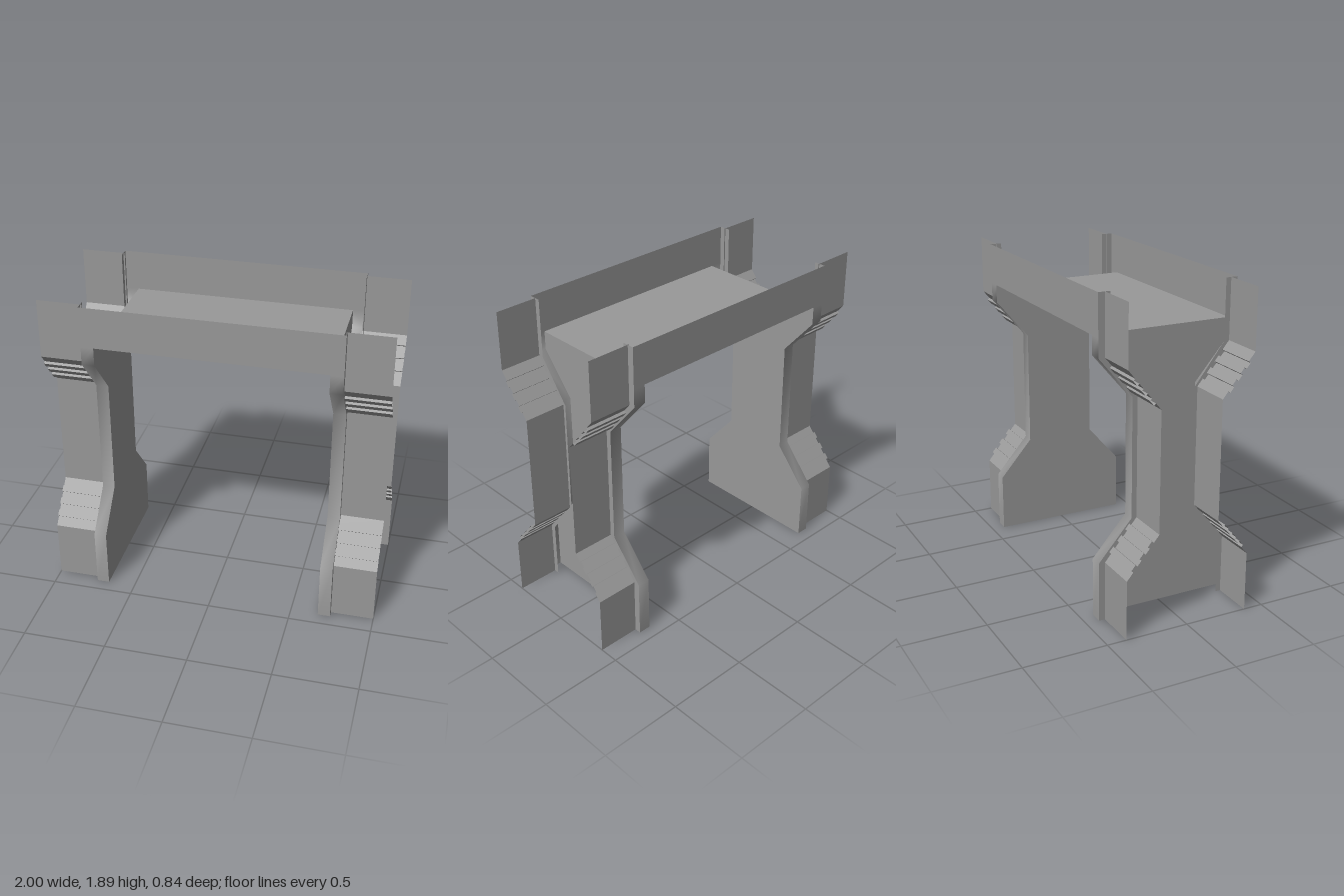
import * as THREE from 'three';

const material = new THREE.MeshStandardMaterial({ color: 0x999999, side: THREE.DoubleSide });

// Main dimensions
const INNER = 0.667, TRIM = 0.742, CLAD = 0.734, OUTER = 1;
const HEAD = 1.647, TOP = 1.89;

// Waisted profile as [y, z]: wide foot, narrow middle, wide head
const profile = (wide, narrow, top) =>
  [[0, wide], [0.355, wide], [0.59, narrow], [1.298, narrow], [1.537, wide], [top, wide]];

// Sheet stretched between two polylines; front side has b to the right of a, points going up
function sheet(name, a, b, smooth = false) {
  const position = [], index = [];
  a.forEach((p, i) => {
    position.push(...p, ...b[i]);
    if (i) {
      const k = 2 * i;
      index.push(k - 2, k - 1, k + 1, k - 2, k + 1, k);
    }
  });
  let geometry = new THREE.BufferGeometry();
  geometry.setAttribute('position', new THREE.Float32BufferAttribute(position, 3));
  geometry.setIndex(index);
  if (!smooth) geometry = geometry.toNonIndexed();
  geometry.computeVertexNormals();
  const mesh = new THREE.Mesh(geometry, material);
  mesh.name = name;
  return mesh;
}

// Sheet running along x between x0 and x1, facing away from the centre on side sz
function facing(name, points, x0, x1, sz, smooth) {
  const at = x => points.map(([y, z]) => [x, y, sz * z]);
  const lo = at(Math.min(x0, x1)), hi = at(Math.max(x0, x1));
  return sz > 0 ? sheet(name, lo, hi, smooth) : sheet(name, hi, lo, smooth);
}

// Cladding profile: three square ribs on each sloped section
function claddingProfile() {
  const wide = 0.383, narrow = 0.187, height = 0.016, width = 0.0387;
  const slope = ([y0, z0], [y1, z1]) => {
    const length = Math.hypot(y1 - y0, z1 - z0);
    const dy = (y1 - y0) / length, dz = (z1 - z0) / length;
    const ny = dy < 0 ? dz : -dz, nz = Math.abs(dy);
    const points = [[y0, z0]];
    for (let i = 0; i < 3; i++) {
      const s = 0.052 + i * 2 * width;
      for (const [t, r] of [[0, 0], [0, height], [width, height], [width, 0]])
        points.push([y0 + dy * (s + t) + ny * r, z0 + dz * (s + t) + nz * r]);
    }
    points.push([y1, z1]);
    return points;
  };
  return [
    [0, wide],
    ...slope([0.59, narrow], [0.355, wide]).reverse(),
    ...slope([1.298, narrow], [1.537, wide]),
    [TOP, wide],
  ];
}

export function createModel() {
  const model = new THREE.Group();
  model.name = 'doorway';
  const edge = profile(0.422, 0.218, HEAD);
  const cladding = claddingProfile();

  for (const sx of [-1, 1]) {
    const side = new THREE.Group();
    side.name = sx > 0 ? 'leftJamb' : 'rightJamb';

    // Inner passage wall, facing the opening
    const near = edge.map(([y, z]) => [sx * INNER, y, z]);
    const far = edge.map(([y, z]) => [sx * INNER, y, -z]);
    side.add(sx > 0 ? sheet('passageWall', far, near) : sheet('passageWall', near, far));

    for (const sz of [-1, 1]) {
      // Trim face, its return into the wall, and the ribbed cladding beside it
      side.add(facing('trimFace', edge, sx * INNER, sx * TRIM, sz, true));
      const rim = profile(0.422, 0.218, TOP).map(([y, z]) => [sx * TRIM, y, sz * z]);
      const back = profile(0.352, 0.17, TOP).map(([y, z]) => [sx * TRIM, y, sz * z]);
      side.add(sx * sz > 0 ? sheet('trimReturn', rim, back) : sheet('trimReturn', back, rim));
      side.add(facing('cladding', cladding, sx * CLAD, sx * OUTER, sz));
    }
    model.add(side);
  }

  // Lintel faces front and back
  for (const sz of [-1, 1])
    model.add(facing(sz > 0 ? 'frontLintel' : 'backLintel', [[HEAD, 0.422], [TOP, 0.422]], -TRIM, TRIM, sz));

  // Ceiling of the passage, facing down
  model.add(sheet('ceiling',
    [[-INNER, HEAD, -0.422], [-INNER, HEAD, 0.422]],
    [[INNER, HEAD, -0.422], [INNER, HEAD, 0.422]]));

  return model;
}
